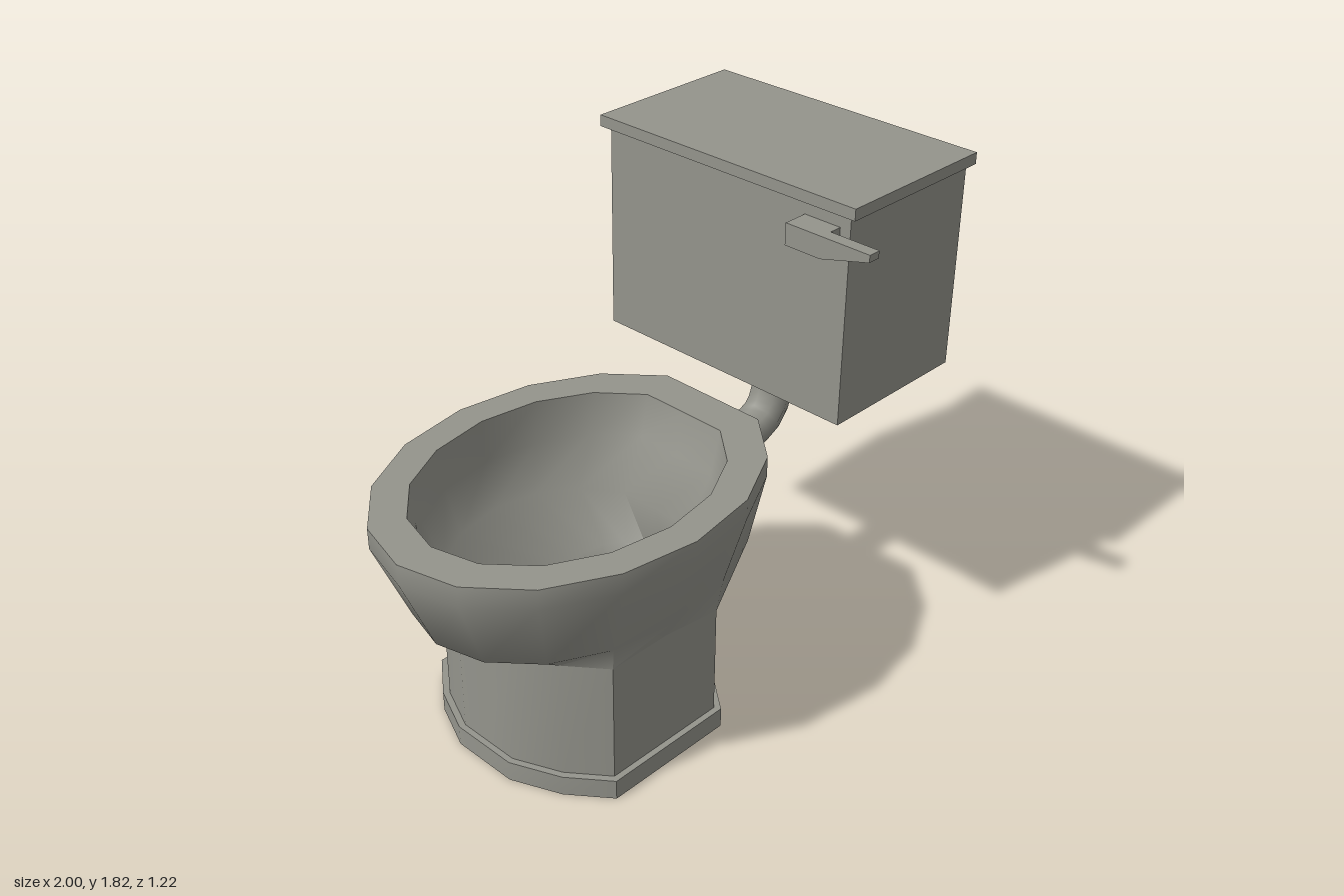
import * as THREE from 'three';
import { toCreasedNormals } from 'three/addons/utils/BufferGeometryUtils.js';

const SIDES = 16;
const CX = -0.285, CZ = -0.06; // centre of bowl and pedestal

// Skin a list of rings (each 16 points), ordered up the outside and down the inside
function loft(rings, crease = 0.8) {
  const pos = rings.flat(2);
  const index = [];
  for (let j = 0; j < rings.length - 1; j++) {
    for (let i = 0; i < SIDES; i++) {
      const n = (i + 1) % SIDES;
      const a = j * SIDES + i, b = j * SIDES + n, c = a + SIDES, d = b + SIDES;
      index.push(a, c, b, b, c, d);
    }
  }
  const g = new THREE.BufferGeometry();
  g.setAttribute('position', new THREE.Float32BufferAttribute(pos, 3));
  g.setIndex(index);
  return toCreasedNormals(g, crease);
}

function ring(fn) {
  return Array.from({ length: SIDES }, (_, i) => fn(i, (i / SIDES) * Math.PI * 2));
}

// Foot outline: long straight flanks with rounded ends, mirrored from one quadrant
const QUAD = [[0.435, 0], [0.435, 0.125], [0.36, 0.3], [0.25, 0.44], [0, 0.44]];
function footRing(scale, y, drop = 0) {
  return ring((i, a) => {
    const k = i % 8;
    const [qx, qz] = QUAD[k <= 4 ? k : 8 - k];
    const sx = i > 4 && i < 12 ? -1 : 1;
    const sz = i > 8 ? -1 : 1;
    return [CX + sx * qx * scale, y - drop * Math.max(0, Math.cos(a)), CZ + sz * qz * scale];
  });
}

// Oval bowl outline, cut flat at the back where the pipe enters
function bowlRing(left, right, half, y) {
  return ring((i, a) => {
    const c = Math.cos(a);
    const x = c < 0 ? c * left : Math.min(c * right, right * 0.924);
    return [CX - 0.005 + x, y, CZ + Math.sin(a) * half];
  });
}

function drainRing(r, y) {
  return ring((i, a) => [-0.06 + r * Math.cos(a), y, CZ + r * Math.sin(a)]);
}

export function createModel() {
  const group = new THREE.Group();
  const ceramic = new THREE.MeshStandardMaterial({ color: 0x94948c });
  ceramic.name = 'grey ceramic';

  const add = (name, geometry, x = 0, y = 0, z = 0) => {
    const mesh = new THREE.Mesh(geometry, ceramic);
    mesh.name = name;
    mesh.position.set(x, y, z);
    group.add(mesh);
  };
  const addBox = (name, x0, x1, y0, y1, z0, z1) =>
    add(name, new THREE.BoxGeometry(x1 - x0, y1 - y0, z1 - z0),
      (x0 + x1) / 2, (y0 + y1) / 2, (z0 + z1) / 2);

  // Foot plate and pedestal
  add('foot', loft([footRing(0, 0), footRing(1, 0), footRing(1, 0.075), footRing(0, 0.075)]));
  add('pedestal', loft([footRing(0.95, 0.07), footRing(0.95, 0.52, 0.08)]));

  // Bowl: underside, flared outside, rim, inner wall, sloping floor and drain
  add('bowl', loft([
    footRing(0.95, 0.52, 0.08),
    bowlRing(0.59, 0.714, 0.45, 0.59),
    bowlRing(0.71, 0.714, 0.55, 0.88),
    bowlRing(0.71, 0.714, 0.55, 0.955),
    bowlRing(0.58, 0.56, 0.44, 0.955),
    bowlRing(0.54, 0.52, 0.43, 0.8),
    bowlRing(0.45, 0.42, 0.4, 0.62),
    drainRing(0.2, 0.42),
    drainRing(0.06, 0.34),
    drainRing(0.05, 0.24),
    drainRing(0, 0.24),
  ], 1.0));

  // Bent flush pipe from bowl up to tank
  const path = new THREE.CatmullRomCurve3([
    [0.34, 0.735], [0.53, 0.735], [0.64, 0.77], [0.69, 0.86], [0.69, 1.06],
  ].map(([x, y]) => new THREE.Vector3(x, y, CZ)));
  add('flushPipe', new THREE.TubeGeometry(path, 12, 0.074, 8));

  // Tank and lid
  addBox('tank', 0.4, 0.985, 1.05, 1.78, -0.57, 0.46);
  addBox('tankLid', 0.385, 1, 1.78, 1.82, -0.605, 0.485);

  // Flush lever: stub plus an arm that tapers toward the tip
  addBox('leverStub', 0.35, 0.4, 1.66, 1.735, 0.28, 0.42);
  const arm = new THREE.Shape([
    [-0.28, 1.66], [-0.28, 1.735], [-0.605, 1.735], [-0.605, 1.71], [-0.42, 1.66],
  ].map(([x, y]) => new THREE.Vector2(x, y)));
  const armGeometry = new THREE.ExtrudeGeometry(arm, { depth: 0.045, bevelEnabled: false });
  armGeometry.rotateY(Math.PI / 2);
  add('leverArm', armGeometry, 0.31);

  return group;
}
